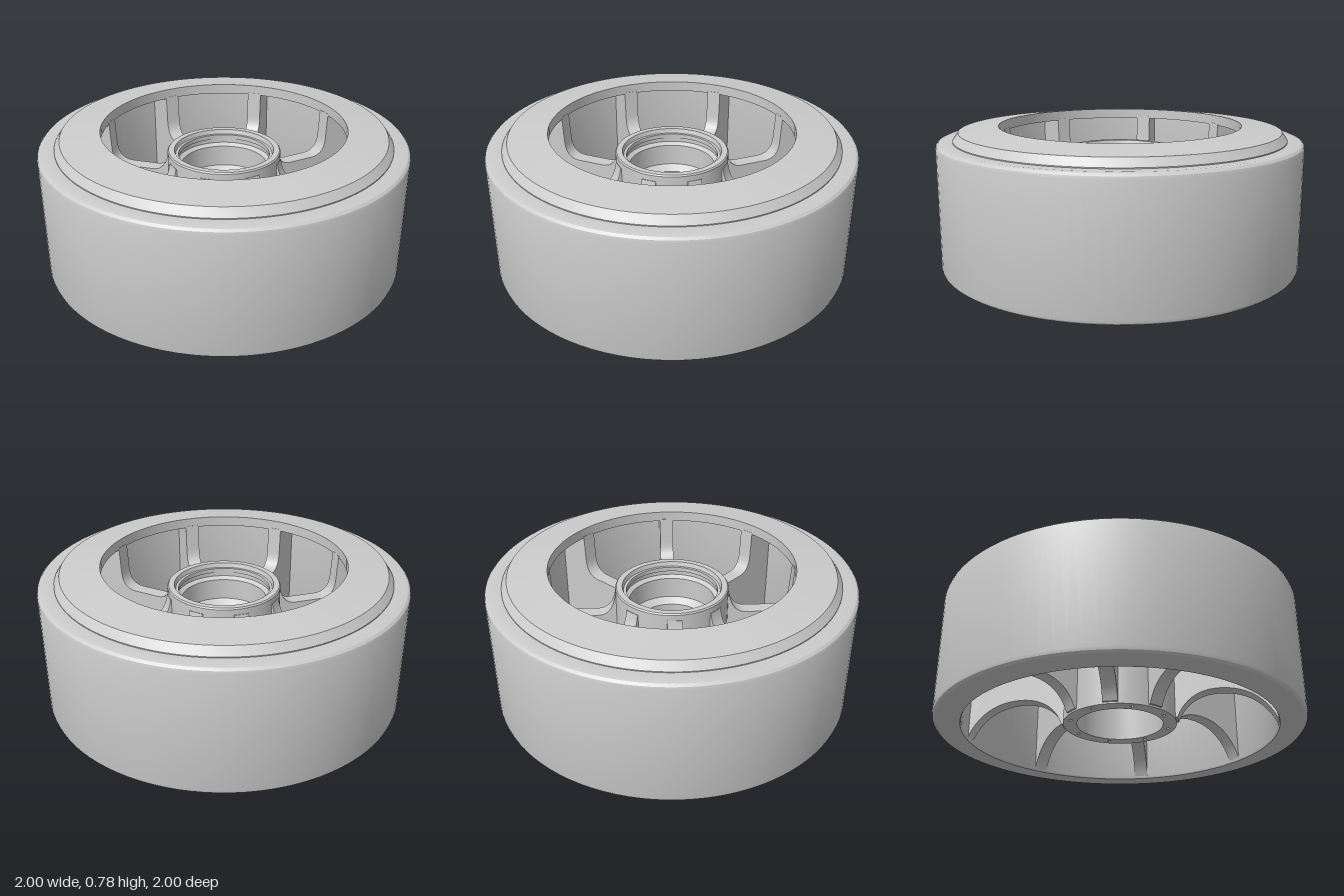
import * as THREE from 'three';
import { toCreasedNormals } from 'three/addons/utils/BufferGeometryUtils.js';

const SPOKES = 8;
const material = new THREE.MeshStandardMaterial({ color: 0xcccccc });

function part(name, geometry) {
  const mesh = new THREE.Mesh(geometry, material);
  mesh.name = name;
  return mesh;
}

// Revolves a counter-clockwise (radius, height) profile around y
function turned(name, profile, segments = 96) {
  const points = profile.map(([r, y]) => new THREE.Vector2(r, y));
  points.push(points[0].clone());
  return part(name, toCreasedNormals(new THREE.LatheGeometry(points, segments), 0.5));
}

// Web profile: arched underneath, filleted into hub and rim on top
function spokeGeometry(width) {
  const s = new THREE.Shape();
  s.moveTo(0.29, 0.06);
  s.lineTo(0.32, 0.06);
  s.bezierCurveTo(0.36, 0.17, 0.45, 0.215, 0.55, 0.215);
  s.bezierCurveTo(0.7, 0.215, 0.8, 0.14, 0.852, 0.01);
  s.lineTo(0.87, 0.01);
  s.lineTo(0.87, 0.73);
  s.lineTo(0.663, 0.73);
  s.lineTo(0.655, 0.58);
  s.quadraticCurveTo(0.65, 0.48, 0.56, 0.48);
  s.lineTo(0.41, 0.48);
  s.quadraticCurveTo(0.33, 0.48, 0.312, 0.6);
  s.lineTo(0.29, 0.6);
  s.closePath();
  const g = new THREE.ExtrudeGeometry(s, { depth: width, bevelEnabled: false, curveSegments: 14 });
  g.translate(0, 0, -width / 2);
  return toCreasedNormals(g, 0.5);
}

// Flat ring closing the bottom of the hub, drilled with small holes
function hubPlateGeometry(outer, inner, thickness) {
  const s = new THREE.Shape().absarc(0, 0, outer, 0, Math.PI * 2);
  s.holes.push(new THREE.Path().absarc(0, 0, inner, 0, Math.PI * 2, true));
  for (let i = 0; i < SPOKES; i++) {
    const a = ((i + 0.5) / SPOKES) * Math.PI * 2;
    const x = 0.273 * Math.cos(a), y = 0.273 * Math.sin(a);
    s.holes.push(new THREE.Path().absarc(x, y, 0.011, 0, Math.PI * 2, true));
  }
  const g = new THREE.ExtrudeGeometry(s, { depth: thickness, bevelEnabled: false, curveSegments: 48 });
  g.rotateX(-Math.PI / 2);
  return toCreasedNormals(g, 0.5);
}

export function createModel() {
  const wheel = new THREE.Group();
  wheel.name = 'wheel';

  // Tread band with rounded shoulders
  wheel.add(turned('tyre', [
    [0.91, 0], [0.97, 0], [0.985, 0.004], [0.996, 0.015], [1, 0.03],
    [1, 0.675], [0.996, 0.69], [0.985, 0.701], [0.97, 0.705], [0.91, 0.705],
  ]));

  // Rim barrel with inward top flange
  wheel.add(turned('rim', [
    [0.855, 0], [0.91, 0], [0.91, 0.71], [0.88, 0.752], [0.665, 0.777],
    [0.665, 0.72], [0.85, 0.715], [0.85, 0.012],
  ]));

  // Hub with stepped bore: bearing seats above and below a shoulder
  wheel.add(turned('hub', [
    [0.235, 0.1], [0.31, 0.1], [0.31, 0.632], [0.304, 0.64], [0.272, 0.64],
    [0.265, 0.615], [0.25, 0.615], [0.25, 0.59], [0.258, 0.59], [0.258, 0.565],
    [0.235, 0.55], [0.235, 0.43], [0.195, 0.4], [0.195, 0.34], [0.235, 0.34],
  ]));
  const plate = part('hubPlate', hubPlateGeometry(0.31, 0.235, 0.05));
  plate.position.y = 0.05;
  wheel.add(plate);

  // Radial webs
  const geometry = spokeGeometry(0.08);
  for (let i = 0; i < SPOKES; i++) {
    const spoke = part('spoke', geometry);
    spoke.rotation.y = (i / SPOKES) * Math.PI * 2;
    wheel.add(spoke);
  }
  return wheel;
}
